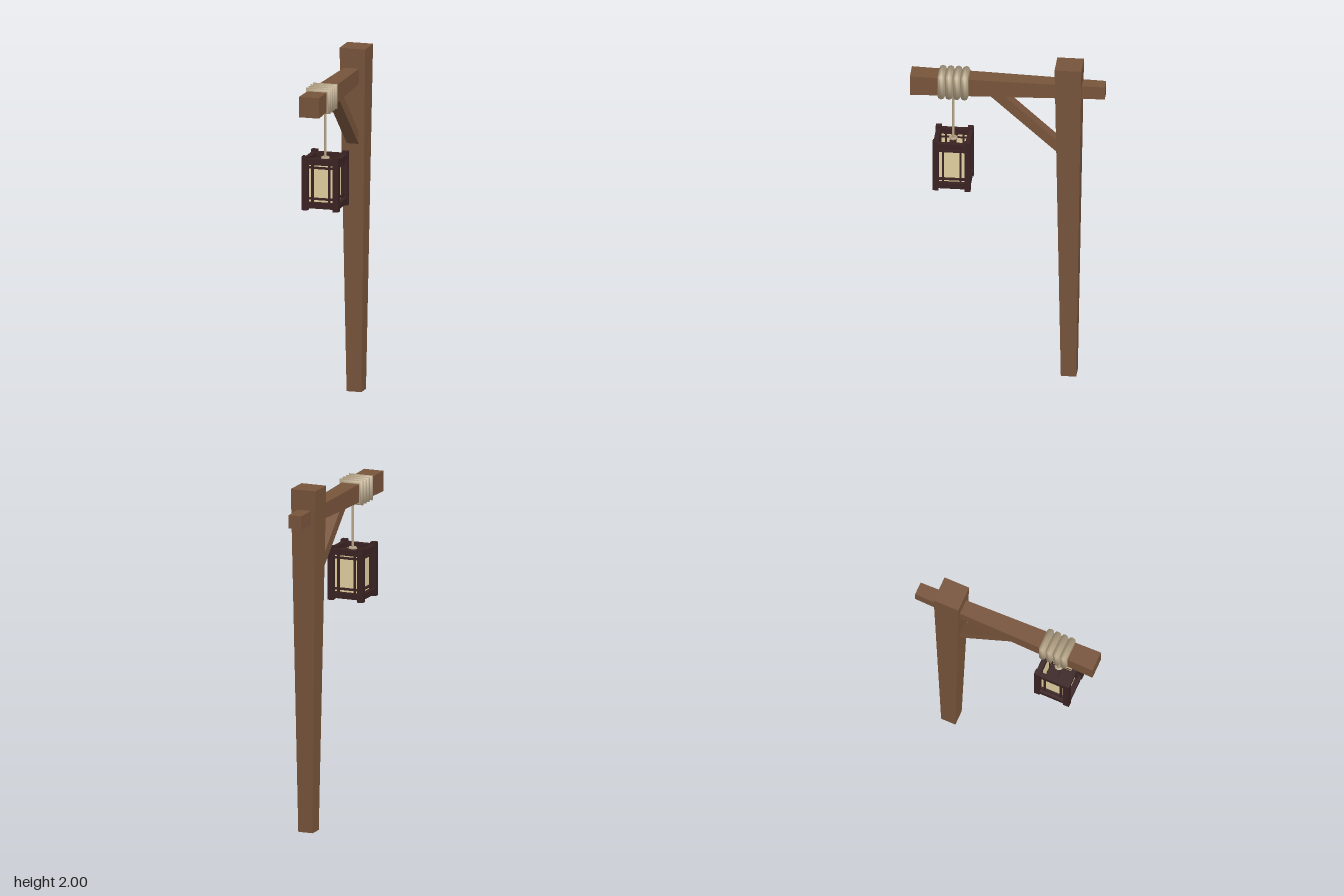
import * as THREE from 'three';

const mat = (color, extra = {}) => new THREE.MeshStandardMaterial({ color, ...extra });

export function createModel() {
  const model = new THREE.Group();
  model.name = 'lanternPost';
  const wood = mat(0x77543b);
  const darkWood = mat(0x3a2222);
  const rope = mat(0xb8a688);
  const paper = mat(0xe2d0a0, { side: THREE.DoubleSide });

  const add = (parent, name, geometry, material, x = 0, y = 0, z = 0) => {
    const mesh = new THREE.Mesh(geometry, material);
    mesh.name = name;
    mesh.position.set(x, y, z);
    parent.add(mesh);
    return mesh;
  };
  const box = (parent, name, material, w, h, d, x, y, z) =>
    add(parent, name, new THREE.BoxGeometry(w, h, d), material, x, y, z);

  // Square bar along y whose sides go from width w0 (bottom) to w1 (top)
  const taperedBar = (w0, w1, length) => {
    const g = new THREE.BoxGeometry(1, length, 1);
    const p = g.attributes.position;
    for (let i = 0; i < p.count; i++) {
      const w = p.getY(i) > 0 ? w1 : w0;
      p.setX(i, p.getX(i) * w);
      p.setZ(i, p.getZ(i) * w);
    }
    g.computeVertexNormals();
    return g;
  };

  // Upright post and the beam that passes through it
  add(model, 'post', taperedBar(0.088, 0.152, 2), wood, -0.017, 1, -0.348);
  const beam = add(model, 'beam', taperedBar(0.077, 0.119, 1.106), wood, -0.023, 1.842, 0);
  beam.rotation.x = Math.PI / 2;

  // Diagonal brace, cut flush to the post and beam; shape x is -z
  const braceShape = new THREE.Shape([
    new THREE.Vector2(-0.11, 1.8), new THREE.Vector2(0.285, 1.443),
    new THREE.Vector2(0.285, 1.517), new THREE.Vector2(-0.025, 1.8),
  ]);
  const braceGeo = new THREE.ExtrudeGeometry(braceShape, { depth: 0.07, bevelEnabled: false });
  add(model, 'brace', braceGeo, wood, -0.053, 0, 0).rotation.y = Math.PI / 2;

  // Four square rope turns around the beam
  const turnGeo = new THREE.TorusGeometry(0.08, 0.022, 8, 4);
  turnGeo.rotateZ(Math.PI / 4);
  for (let i = 0; i < 4; i++) {
    add(model, 'ropeTurn', turnGeo, rope, -0.022, 1.842, 0.243 + i * 0.044);
  }

  // Hanging lantern
  const lantern = new THREE.Group();
  lantern.name = 'lantern';
  lantern.position.set(0, 1.367, 0.31);
  model.add(lantern);
  add(lantern, 'cord', new THREE.CylinderGeometry(0.008, 0.008, 0.3, 8), rope, 0, 0.275, 0);
  const knot = add(lantern, 'cordKnot', new THREE.TorusGeometry(0.018, 0.008, 6, 10), rope, 0, 0.132, 0);
  knot.rotation.x = Math.PI / 2;
  box(lantern, 'hangingBar', darkWood, 0.17, 0.018, 0.036, 0, 0.115, 0);
  box(lantern, 'floor', darkWood, 0.17, 0.015, 0.17, 0, -0.12, 0);

  for (const x of [-1, 1]) {
    for (const z of [-1, 1]) {
      box(lantern, 'cornerPost', darkWood, 0.034, 0.312, 0.034, x * 0.091, 0, z * 0.091);
    }
  }

  // The same framed paper panel on each of the four sides
  for (let i = 0; i < 4; i++) {
    const side = new THREE.Group();
    side.name = 'lanternSide';
    side.rotation.y = (i * Math.PI) / 2;
    lantern.add(side);
    add(side, 'paperPanel', new THREE.PlaneGeometry(0.16, 0.25), paper, 0, 0, 0.08);
    for (const s of [-1, 1]) {
      box(side, 'rail', darkWood, 0.16, 0.034, 0.028, 0, s * 0.126, 0.091);
      box(side, 'crossLattice', darkWood, 0.16, 0.012, 0.012, 0, s * 0.09, 0.085);
      box(side, 'uprightLattice', darkWood, 0.012, 0.24, 0.012, s * 0.05, 0, 0.085);
    }
  }
  return model;
}
